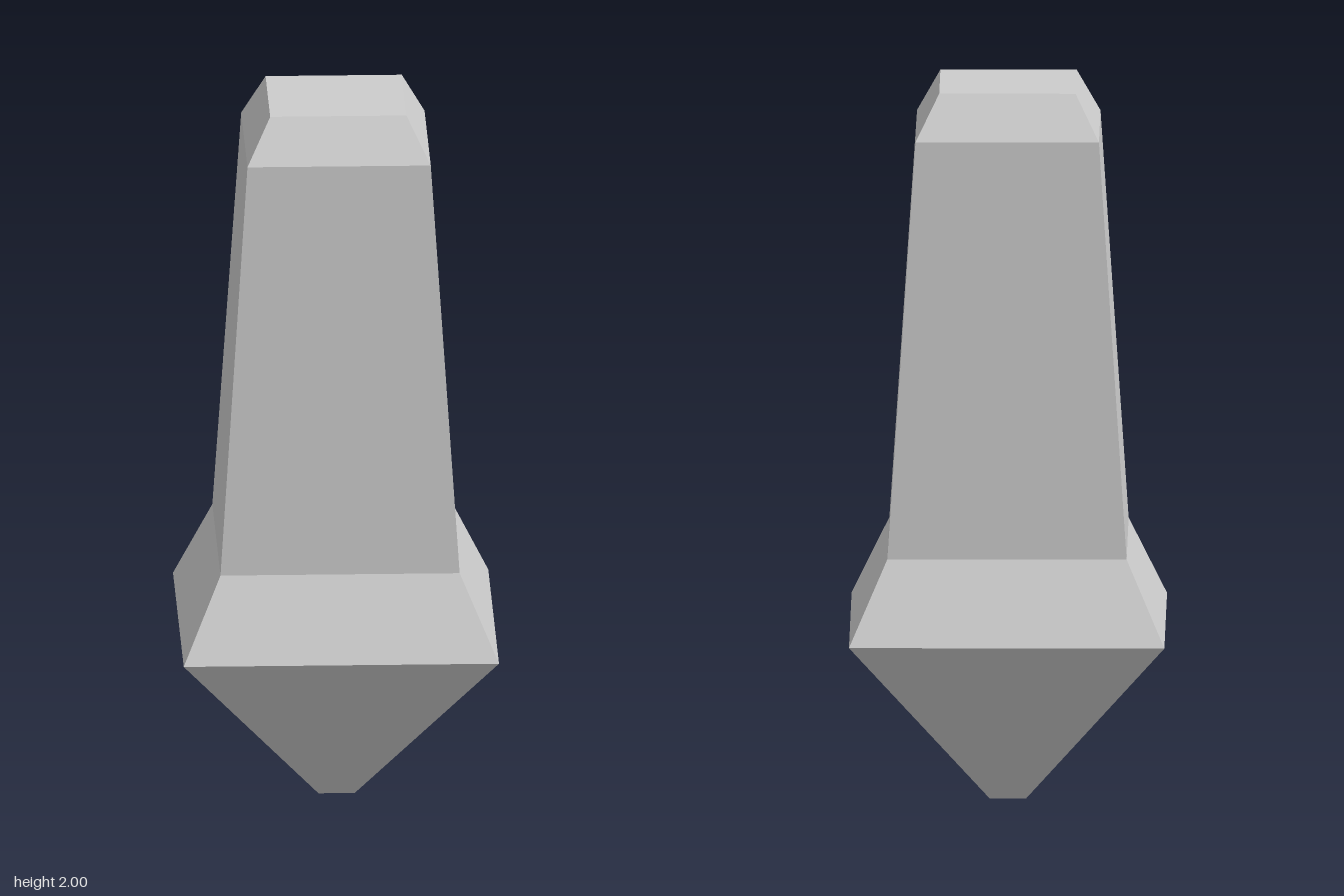
import * as THREE from 'three';

const material = new THREE.MeshStandardMaterial({ color: 0xcccccc, flatShading: true });

// Square tier from a bottom-to-top profile of [half width, height]
function squareTier(name, profile) {
  const points = profile.map(([half, y]) => new THREE.Vector2(half * Math.SQRT2, y));
  const geometry = new THREE.LatheGeometry(points, 4, Math.PI / 4).toNonIndexed();
  geometry.computeVertexNormals();
  const mesh = new THREE.Mesh(geometry, material);
  mesh.name = name;
  return mesh;
}

export function createModel() {
  const group = new THREE.Group();
  group.name = 'taperedStake';

  // Levels shared by neighbouring tiers
  const tip = [0.05, 0];
  const rim = [0.435, 0.49];
  const neck = [0.33, 0.72];
  const shoulder = [0.253, 1.875];
  const top = [0.188, 2];

  group.add(
    squareTier('point', [[0, 0], tip, rim]),
    squareTier('flaredCollar', [rim, neck]),
    squareTier('shaft', [neck, shoulder]),
    squareTier('bevelledCap', [shoulder, top, [0, 2]])
  );
  return group;
}
